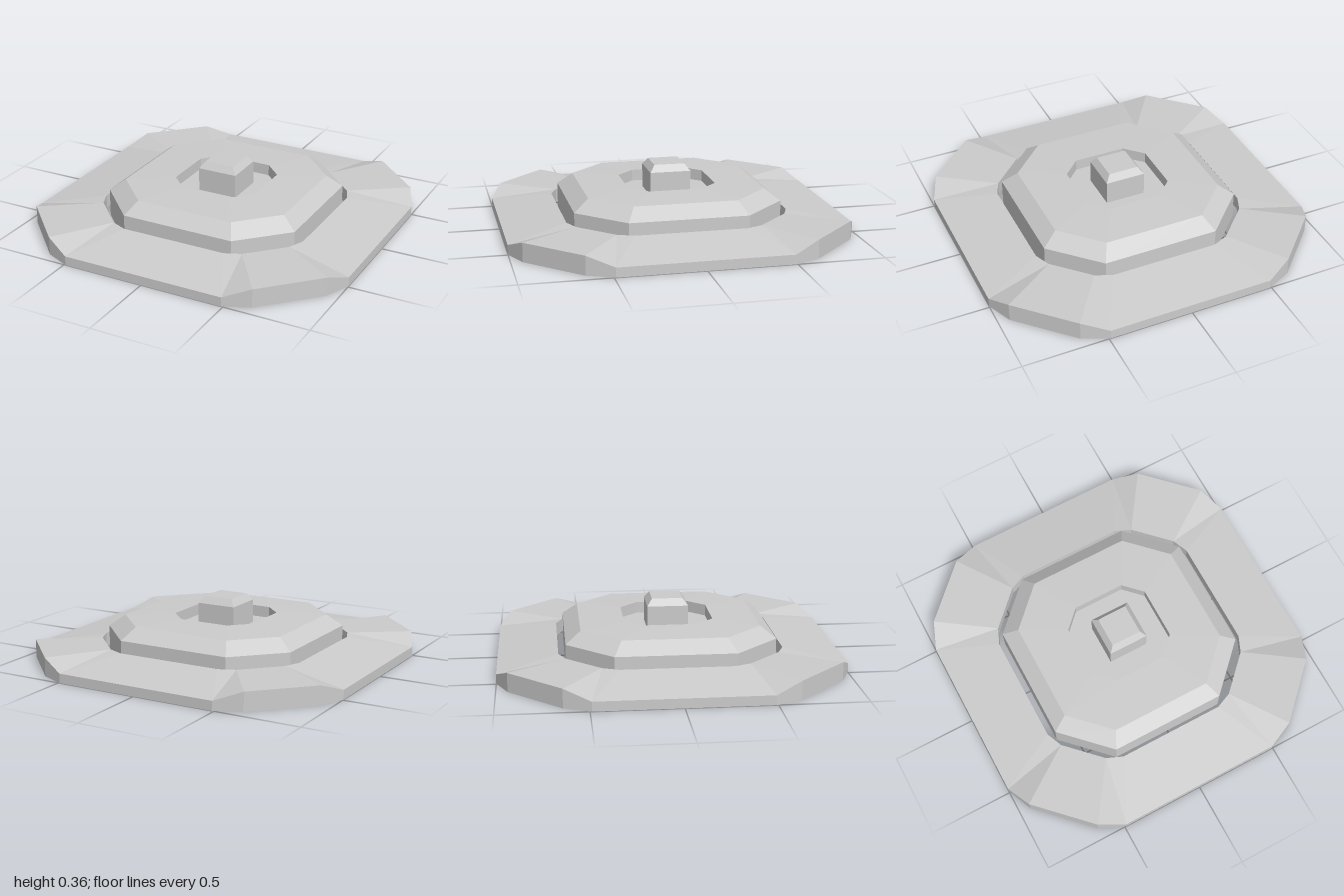
import * as THREE from 'three';

const material = new THREE.MeshStandardMaterial({
  color: 0xcccccc, flatShading: true, side: THREE.DoubleSide,
});

// Repeats one quarter of an outline four times around y; points are [x, y, z]
function ring(quarter) {
  const points = [];
  for (let k = 0; k < 4; k++) {
    for (const [px, y, pz] of quarter) {
      let x = px, z = pz;
      for (let i = 0; i < k; i++) [x, z] = [z, -x];
      points.push([x, y, z]);
    }
  }
  return points;
}

// Eight-sided outline: half width w, half length c of each straight side
const octagon = (w, c, y) => ring([[c, y, w], [w, y, c]]);
const square = (w, y) => ring([[w, y, w]]);

// Joins successive rings with faces; optionally closes the first and last ring
function loft(name, rings, { capStart = false, capEnd = false } = {}) {
  const pos = [];
  const tri = (...corners) => corners.forEach((p) => pos.push(...p));
  const n = rings[0].length;
  for (let r = 0; r < rings.length - 1; r++) {
    const lower = rings[r], upper = rings[r + 1];
    for (let i = 0; i < n; i++) {
      const j = (i + 1) % n;
      if (n === 16 && i % 4 === 2) { // mirrored diagonal on the far side of a corner
        tri(lower[i], lower[j], upper[i]);
        tri(lower[j], upper[j], upper[i]);
      } else {
        tri(lower[i], lower[j], upper[j]);
        tri(lower[i], upper[j], upper[i]);
      }
    }
  }
  const first = rings[0], last = rings[rings.length - 1];
  for (let i = 1; i < n - 1; i++) {
    if (capStart) tri(first[0], first[i + 1], first[i]);
    if (capEnd) tri(last[0], last[i], last[i + 1]);
  }
  const geometry = new THREE.BufferGeometry();
  geometry.setAttribute('position', new THREE.Float32BufferAttribute(pos, 3));
  geometry.computeVertexNormals();
  const mesh = new THREE.Mesh(geometry, material);
  mesh.name = name;
  return mesh;
}

// Bevelled-corner outline of the base, with separate heights for sides and corners
function baseOutline(w, a, b, c, sideY, cornerY) {
  return ring([[a, sideY, w], [b, cornerY, c], [c, cornerY, b], [w, sideY, a]]);
}

export function createModel() {
  const model = new THREE.Group();
  model.name = 'steppedPlate';

  // Outer skirt: open underneath, low along the sides and raised at the corners
  model.add(loft('outerSkirt', [
    baseOutline(1, 0.49, 0.64, 0.935, 0, 0),
    baseOutline(1, 0.49, 0.64, 0.935, 0.055, 0.11),
    baseOutline(0.65, 0.32, 0.415, 0.61, 0.11, 0.11),
    baseOutline(0.65, 0.32, 0.415, 0.61, 0.03, 0.03),
  ]));

  // Raised octagonal cover with a sunken centre
  model.add(loft('octagonalCover', [
    octagon(0.608, 0.345, 0),
    octagon(0.608, 0.345, 0.17),
    octagon(0.52, 0.3, 0.238),
    octagon(0.26, 0.155, 0.247),
    octagon(0.26, 0.155, 0.18),
  ], { capEnd: true }));

  // Square knob with a bevelled top
  model.add(loft('knob', [
    square(0.12, 0.17),
    square(0.12, 0.32),
    square(0.09, 0.36),
  ], { capStart: true, capEnd: true }));

  return model;
}
